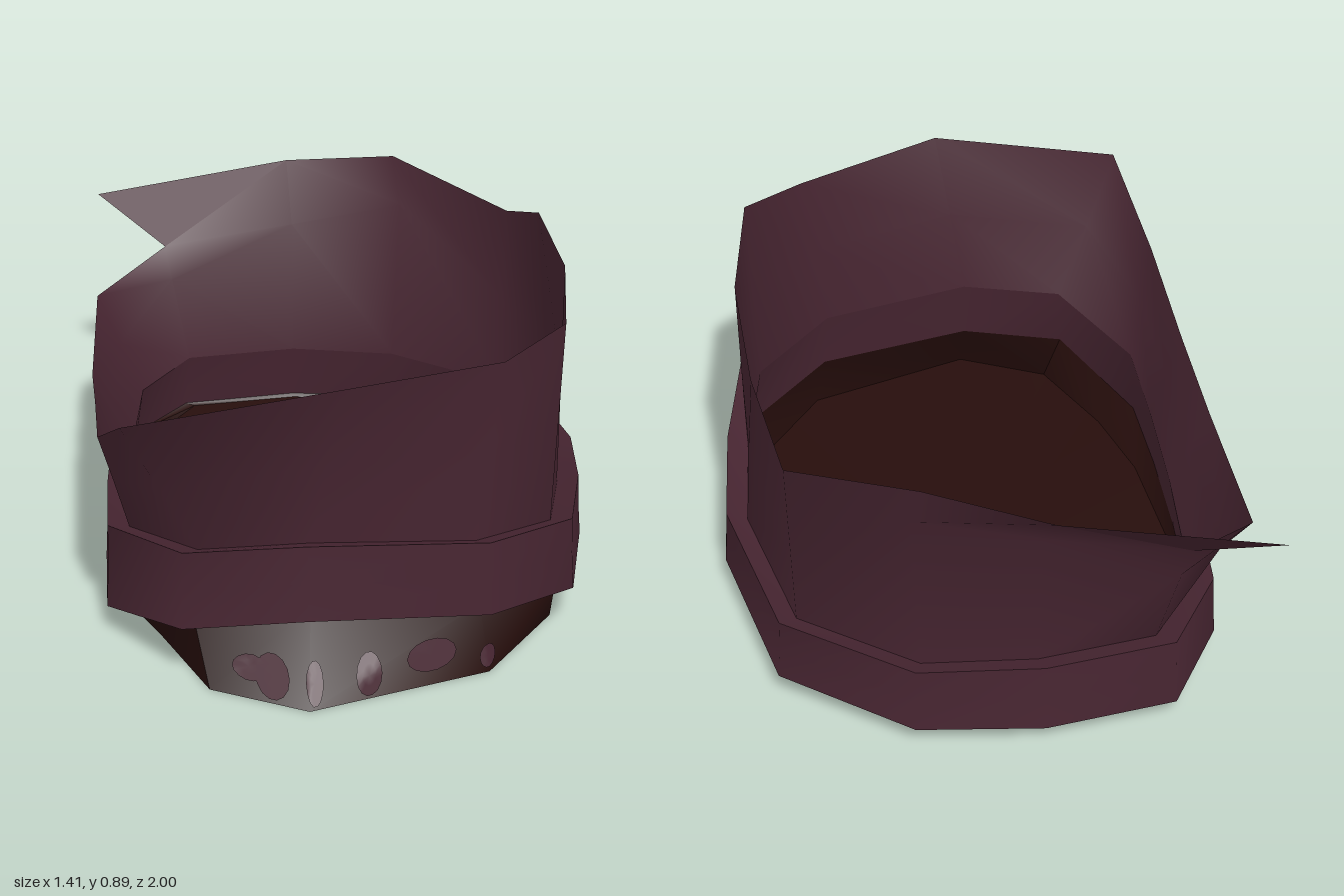
import * as THREE from 'three';
import { toCreasedNormals } from 'three/addons/utils/BufferGeometryUtils.js';

// One entry per column, running from the front towards +x and round the back
const bandOutline = [ // x, z, bottom y, top y
  [-0.13, 0.9, 0.215, 0.43], [0.36, 0.83, 0.18, 0.39], [0.61, 0.61, 0.13, 0.34], [0.68, 0.25, 0.11, 0.29],
  [0.705, -0.08, 0.085, 0.25], [0.59, -0.6, 0.07, 0.25], [0.24, -0.86, 0.06, 0.25], [-0.11, -0.9, 0.06, 0.26],
  [-0.48, -0.84, 0.06, 0.26], [-0.64, -0.58, 0.08, 0.26], [-0.67, -0.1, 0.08, 0.28], [-0.675, 0.25, 0.08, 0.3],
  [-0.665, 0.56, 0.085, 0.33], [-0.46, 0.86, 0.18, 0.4],
];
const rim = [
  [-0.04, 0.885, 0.91], [0.39, 0.865, 0.72], [0.57, 0.895, 0.55], [0.625, 0.885, 0.13],
  [0.61, 0.87, -0.32], [0.55, 0.77, -0.6], [0.22, 0.86, -0.86], [-0.11, 0.81, -0.98],
  [-0.5, 0.58, -0.84], [-0.71, 0.5, -0.64], [-0.71, 0.48, -0.1], [-0.69, 0.54, 0.22],
  [-0.67, 0.62, 0.6], [-0.6, 0.79, 0.9],
];
const soleEdge = [
  [-0.13, 0, 0.995], [0.36, 0, 0.82], [0.56, 0, 0.53], [0.57, 0.04, 0.25],
  [0.58, 0.065, 0], [0.53, 0.035, -0.55], [0.2, 0.05, -0.8], [-0.1, 0.05, -0.83],
  [-0.42, 0.05, -0.78], [-0.58, 0.035, -0.55], [-0.61, 0.02, -0.06], [-0.58, 0.03, 0.28],
  [-0.52, 0, 0.58], [-0.39, 0, 0.87],
];
// Columns where the back of the wall stands upright before it flares out
const backFold = { 6: [0.24, 0.72, -0.8], 7: [-0.1, 0.65, -0.83], 8: [-0.48, 0.48, -0.81] };

const bandRing = (scale, t, drop = 0) =>
  bandOutline.map(([x, z, low, high]) => [x * scale, low + (high - low) * t - drop, z * scale]);
const lerp = (a, b, t) => a + (b - a) * t;

function surface(points, index, crease = 0.9) {
  const geometry = new THREE.BufferGeometry();
  geometry.setAttribute('position', new THREE.Float32BufferAttribute(points.flat(), 3));
  geometry.setIndex(index);
  return toCreasedNormals(geometry, crease);
}

// Surface through closed rings, listed from low to high on the outer side
function loft(rings, crease) {
  const n = rings[0].length, index = [];
  for (let r = 0; r < rings.length - 1; r++) {
    for (let i = 0; i < n; i++) {
      const j = (i + 1) % n, a = r * n + i, b = r * n + j;
      index.push(a, b, b + n, a, b + n, a + n);
    }
  }
  return surface(rings.flat(), index, crease);
}

export function createModel() {
  const group = new THREE.Group();
  const plum = new THREE.MeshStandardMaterial({ color: 0x472531, side: THREE.DoubleSide });
  plum.name = 'plum cloth';
  const brown = new THREE.MeshStandardMaterial({ color: 0x270e0c, side: THREE.DoubleSide });
  brown.name = 'dark brown';
  const add = (name, geometry, material) => {
    const mesh = new THREE.Mesh(geometry, material);
    mesh.name = name;
    group.add(mesh);
    return mesh;
  };

  const seam = bandRing(0.93, 0);
  const wallBase = bandRing(0.9, 1, 0.03);

  // Thick folded band, closed on its inner side
  add('band', loft([seam, bandRing(1, 0), bandRing(0.99, 0.5), bandRing(0.985, 1), wallBase, seam]), plum);

  // Tall open wall with an uneven rim
  const wallMiddle = wallBase.map((p, i) => backFold[i] ?? [
    lerp(p[0], rim[i][0], 0.5), lerp(p[1], rim[i][1], 0.5), lerp(p[2], rim[i][2], 0.42)]);
  add('wall', loft([wallBase, wallMiddle, rim], 1.2), plum);

  // Pointed flap at the back corner
  add('backFlap', surface([rim[7], [-0.71, 0.7, -1], rim[8]], [0, 1, 2]), plum);

  // Dark skirt under the band, and the shallow floor
  const skirt = add('skirt', loft([soleEdge, seam]), brown);
  const floorIndex = [];
  const n = soleEdge.length;
  for (let i = 0; i < n; i++) floorIndex.push(n, (i + 1) % n, i);
  add('floor', surface([...soleEdge, [0, 0.03, -0.06]], floorIndex), brown);

  // Rounded patches lying on the front of the skirt: x, y, half width, half height
  const ray = new THREE.Raycaster();
  const back = new THREE.Vector3(0, 0, -1);
  const onSkirt = (x, y) => {
    ray.set(new THREE.Vector3(x, y, 2), back);
    return [x, y, ray.intersectObject(skirt)[0].point.z + 0.007];
  };
  const patches = [
    [-0.285, 0.07, 0.045, 0.03], [-0.225, 0.06, 0.045, 0.05], [-0.115, 0.06, 0.023, 0.05],
    [0.03, 0.062, 0.035, 0.052], [0.2, 0.08, 0.068, 0.042], [0.355, 0.045, 0.022, 0.03],
  ];
  for (const [x, y, w, h] of patches) {
    const rings = [0.5, 1], sides = 14;
    const points = [onSkirt(x, y)], index = [];
    for (const r of rings) {
      for (let i = 0; i < sides; i++) {
        const a = (i / sides) * Math.PI * 2;
        points.push(onSkirt(x + r * w * Math.cos(a), y + r * h * Math.sin(a)));
      }
    }
    for (let i = 0; i < sides; i++) {
      const a = i + 1, b = ((i + 1) % sides) + 1;
      index.push(0, a, b, a, a + sides, b + sides, a, b + sides, b);
    }
    add('skirtPatch', surface(points, index), plum);
  }
  return group;
}
